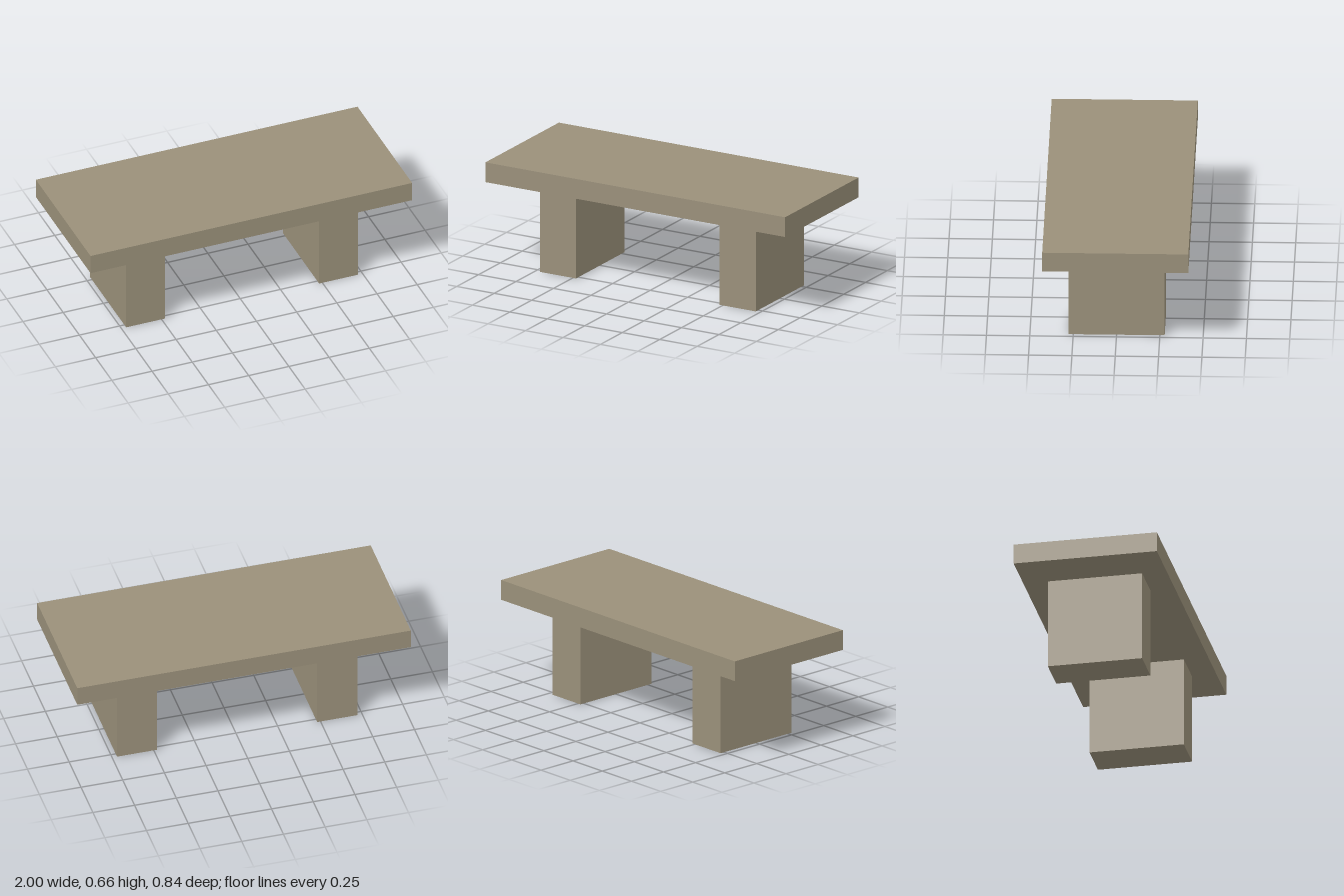
import * as THREE from 'three';

export function createModel() {
  const group = new THREE.Group();
  group.name = 'bench';

  const stone = new THREE.MeshStandardMaterial({ color: 0x9a907a });
  stone.name = 'stone';

  const height = 0.66, slabThickness = 0.12;
  const legHeight = height - slabThickness;

  function addBlock(name, width, tall, depth, x, bottom) {
    const mesh = new THREE.Mesh(new THREE.BoxGeometry(width, tall, depth), stone);
    mesh.name = name;
    mesh.position.set(x, bottom + tall / 2, 0);
    group.add(mesh);
  }

  // Seat slab
  addBlock('seat', 2, slabThickness, 0.843, 0, legHeight);

  // Mirrored block legs
  for (const side of [1, -1]) {
    addBlock(side > 0 ? 'leftLeg' : 'rightLeg', 0.241, legHeight, 0.555, side * 0.6, 0);
  }

  return group;
}
